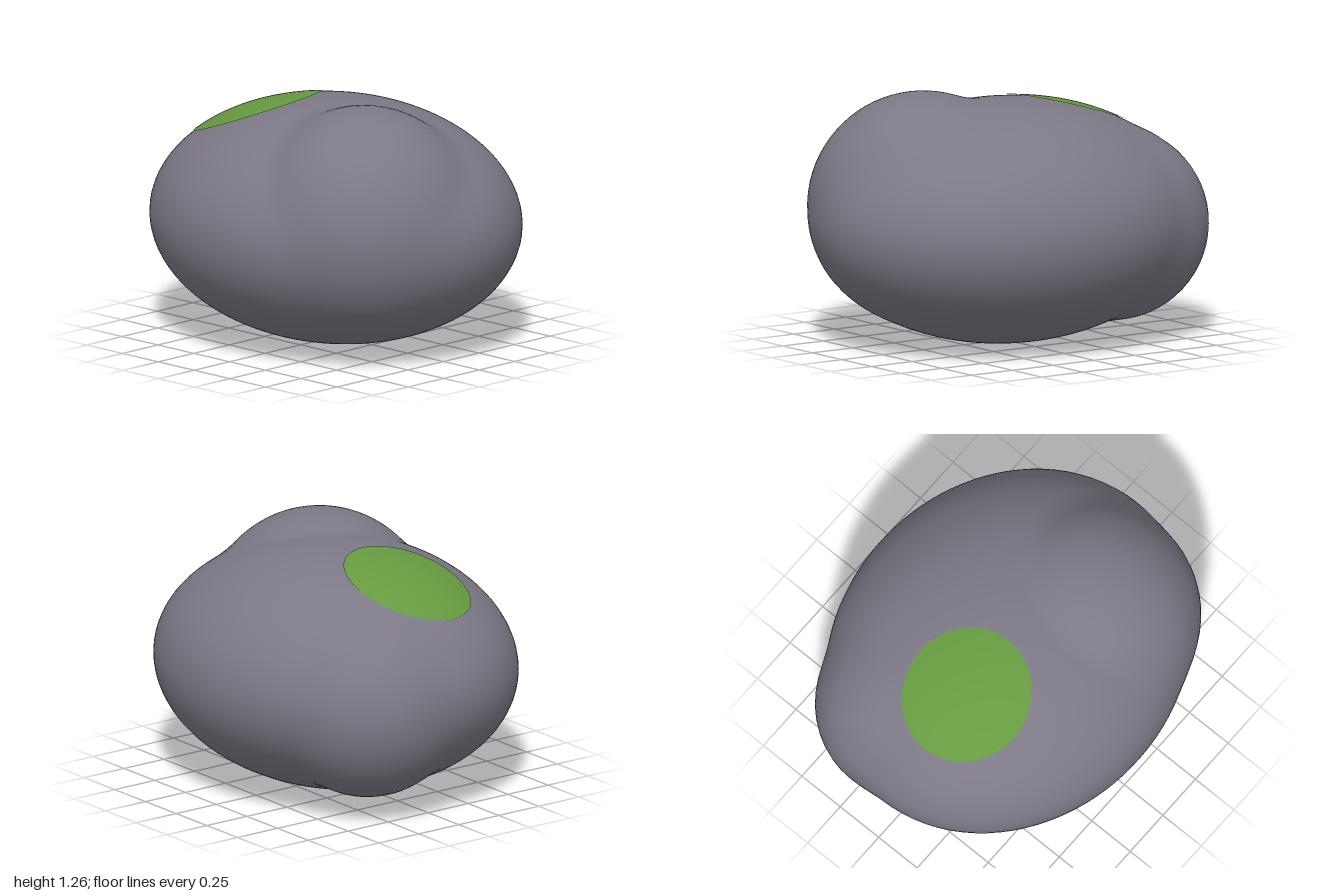
import * as THREE from 'three';
import { mergeVertices } from 'three/addons/utils/BufferGeometryUtils.js';

const stone = new THREE.MeshStandardMaterial({ color: 0x7d7886 });
stone.name = 'stone grey';
const moss = new THREE.MeshStandardMaterial({ color: 0x669a40 });
moss.name = 'moss green';

const CENTER = new THREE.Vector3(0, 0.61, 0);
const RADII = new THREE.Vector3(0.995, 0.607, 0.85);

// Round lumps swelling out of the main body
const LUMPS = [
  { pos: new THREE.Vector3(0.37, 0.685, 0.18), r: 0.577 },
  { pos: new THREE.Vector3(-0.51, 0.57, -0.195), r: 0.485 },
];

// Softened maximum, so lumps blend into the body
function smoothMax(a, b, k = 0.04) {
  const h = Math.max(k - Math.abs(a - b), 0) / k;
  return Math.max(a, b) + h * h * k * 0.25;
}

// Distance from the centre to the boulder's surface along a unit direction
function surfaceDistance(dir) {
  let dist = 1 / dir.clone().divide(RADII).length();
  for (const { pos, r } of LUMPS) {
    const offset = pos.clone().sub(CENTER);
    const along = dir.dot(offset);
    const disc = along * along - offset.lengthSq() + r * r;
    if (disc > 0) dist = smoothMax(dist, along + Math.sqrt(disc));
  }
  return dist;
}

// Push a unit sphere, or part of one, out to the boulder's surface
function wrap(geometry, lift = 0) {
  geometry.deleteAttribute('uv');
  geometry.deleteAttribute('normal');
  const geo = mergeVertices(geometry, 1e-5);
  const p = geo.attributes.position;
  const dir = new THREE.Vector3();
  for (let i = 0; i < p.count; i++) {
    dir.fromBufferAttribute(p, i).normalize();
    dir.multiplyScalar(surfaceDistance(dir) + lift).add(CENTER);
    p.setXYZ(i, dir.x, dir.y, dir.z);
  }
  geo.computeVertexNormals();
  return geo;
}

export function createModel() {
  const group = new THREE.Group();
  group.name = 'boulder';

  // Lumpy stone body
  const body = new THREE.Mesh(wrap(new THREE.SphereGeometry(1, 96, 64)), stone);
  body.name = 'stoneBody';
  group.add(body);

  // Round moss patch lying on the upper side
  const cap = new THREE.SphereGeometry(1, 64, 16, 0, Math.PI * 2, 0, THREE.MathUtils.degToRad(25.7));
  const axis = new THREE.Vector3(-0.605, 0.78, 0.145).normalize();
  cap.applyQuaternion(new THREE.Quaternion().setFromUnitVectors(new THREE.Vector3(0, 1, 0), axis));
  const patch = new THREE.Mesh(wrap(cap, 0.005), moss);
  patch.name = 'mossPatch';
  group.add(patch);

  return group;
}
